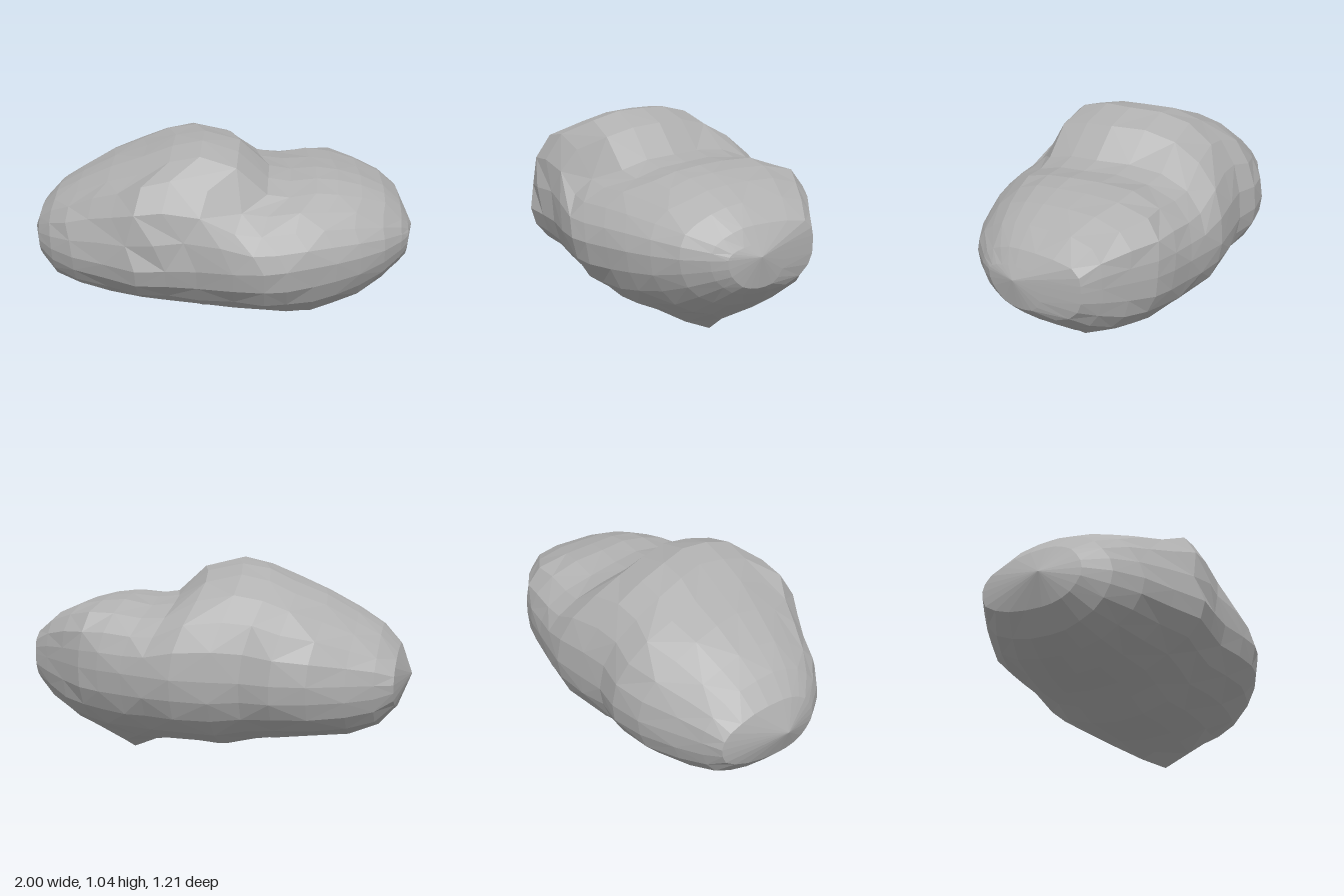
import * as THREE from 'three';

// Outline curves along the boulder's length, as [x, value] pairs
const TOP = [[-1, 0.48], [-0.96, 0.61], [-0.85, 0.73], [-0.6, 0.88], [-0.4, 0.95], [-0.23, 1.02], [-0.08, 1.045],
  [0.1, 1.0], [0.25, 0.865], [0.33, 0.845], [0.47, 0.865], [0.67, 0.84], [0.9, 0.735], [1, 0.55]];
const BOTTOM = [[-1, 0.48], [-0.95, 0.34], [-0.85, 0.23], [-0.7, 0.18], [-0.25, 0.13], [-0.08, 0.085],
  [0.15, 0.1], [0.31, 0.085], [0.49, 0.1], [0.6, 0.135], [0.7, 0.16], [0.87, 0.29], [0.97, 0.39], [1, 0.55]];
const FRONT = [[-1, 0.02], [-0.97, 0.17], [-0.88, 0.29], [-0.78, 0.39], [-0.55, 0.49], [-0.35, 0.585], [-0.15, 0.545],
  [0.05, 0.58], [0.22, 0.605], [0.38, 0.57], [0.6, 0.48], [0.79, 0.38], [0.9, 0.28], [0.97, 0.16], [1, 0]];
const BACK = [[-1, 0.02], [-0.94, -0.32], [-0.45, -0.58], [-0.27, -0.54], [-0.12, -0.57], [0.1, -0.61],
  [0.57, -0.55], [0.93, -0.33], [1, 0]];
const MIDDLE = [[-1, 0.48], [0, 0.5], [1, 0.55]];

// Squareness of each quarter of the cross-section (2 is an ellipse)
const TOP_FRONT = [[-1, 2], [-0.6, 1.9], [-0.3, 2.3], [-0.08, 2.75], [0.1, 2.4], [0.3, 1.9], [1, 1.85]];
const TOP_BACK = [[-1, 2.1], [-0.7, 2], [0.1, 2.3], [0.4, 2.8], [0.65, 4.2], [1, 4.2]];
const LOW_FRONT = [[-1, 2], [0, 1.85], [0.25, 2], [0.49, 2.2], [0.7, 2.1], [1, 2]];
const LOW_BACK = [[-1, 2.5], [-0.75, 2.6], [-0.45, 2.1], [0.15, 2.05], [0.49, 2], [0.7, 2.3], [0.85, 2.8], [1, 2.8]];

// Cross-section positions, with closer ones at the saddle and the foot
const STATIONS = [-1, -0.94, -0.85, -0.72, -0.55, -0.38, -0.23, -0.08, 0.1, 0.25, 0.36, 0.49, 0.6, 0.72, 0.84, 0.93, 0.97, 1];
const SIDES = 24;

// Piecewise linear lookup
function at(curve, x) {
  let i = 1;
  while (i < curve.length - 1 && curve[i][0] < x) i++;
  const [x0, v0] = curve[i - 1], [x1, v1] = curve[i];
  return v0 + (v1 - v0) * (x - x0) / (x1 - x0);
}

function surfacePoint(station, j) {
  const t = (j / SIDES) * Math.PI * 2;
  const b = Math.cos(t), c = Math.sin(t);
  const inner = 1 - station * station;
  // The saddle bends towards the right end as it runs down front and back
  const bend = b > 0 ? b * b * (2.5 * Math.max(0, c - 0.6) + 0.25 * Math.max(0, -c)) : 0;
  const x = station - bend * inner * inner;
  const quarter = b > 0 ? (c > 0 ? TOP_FRONT : TOP_BACK) : (c > 0 ? LOW_FRONT : LOW_BACK);
  const n = at(quarter, station);
  const k = (Math.abs(b) ** n + Math.abs(c) ** n) ** (-1 / n);
  const middleY = at(MIDDLE, x), middleZ = 0.01 * (1 - x);
  const edge = at(b > 0 ? TOP : BOTTOM, station);
  const side = at(c > 0 ? FRONT : BACK, x);
  // Slight chipping, none along the outlines
  const chip = 1 + 0.02 * b * c * Math.sin(x * 19 + j * 2.4);
  const lean = (b > 0 ? 0.03 : -0.06) * b * b * inner;
  const z = middleZ + (side - middleZ) * Math.abs(c) * k * chip + lean;
  // Pointed foot under the left end
  const foot = b < 0 ? 0.1 * Math.max(0, 1 - Math.abs(x - 0.49) / 0.2) * Math.max(0, 1 - Math.abs(z + 0.04) / 0.25) : 0;
  return [x, middleY + (edge - middleY) * Math.abs(b) * k * chip - foot, z];
}

function boulderGeometry() {
  const positions = [];
  const last = STATIONS.length - 2;
  for (let i = 0; i <= last; i++) {
    for (let j = 0; j < SIDES; j++) {
      const p = surfacePoint(STATIONS[i], j), q = surfacePoint(STATIONS[i + 1], j);
      const r = surfacePoint(STATIONS[i], (j + 1) % SIDES), s = surfacePoint(STATIONS[i + 1], (j + 1) % SIDES);
      // Fans at both ends, alternating diagonals between
      if (i === 0) positions.push(...q, ...r, ...s);
      else if (i === last) positions.push(...p, ...r, ...q);
      else if ((i + j) % 2) positions.push(...p, ...r, ...q, ...q, ...r, ...s);
      else positions.push(...p, ...r, ...s, ...p, ...s, ...q);
    }
  }
  const g = new THREE.BufferGeometry();
  g.setAttribute('position', new THREE.Float32BufferAttribute(positions, 3));
  g.computeVertexNormals();
  return g;
}

export function createModel() {
  const stone = new THREE.MeshStandardMaterial({ color: 0xb0b0b0, flatShading: true });
  stone.name = 'grey stone';
  const boulder = new THREE.Mesh(boulderGeometry(), stone);
  boulder.name = 'boulder';
  const group = new THREE.Group();
  group.name = 'rock';
  group.add(boulder);
  return group;
}
